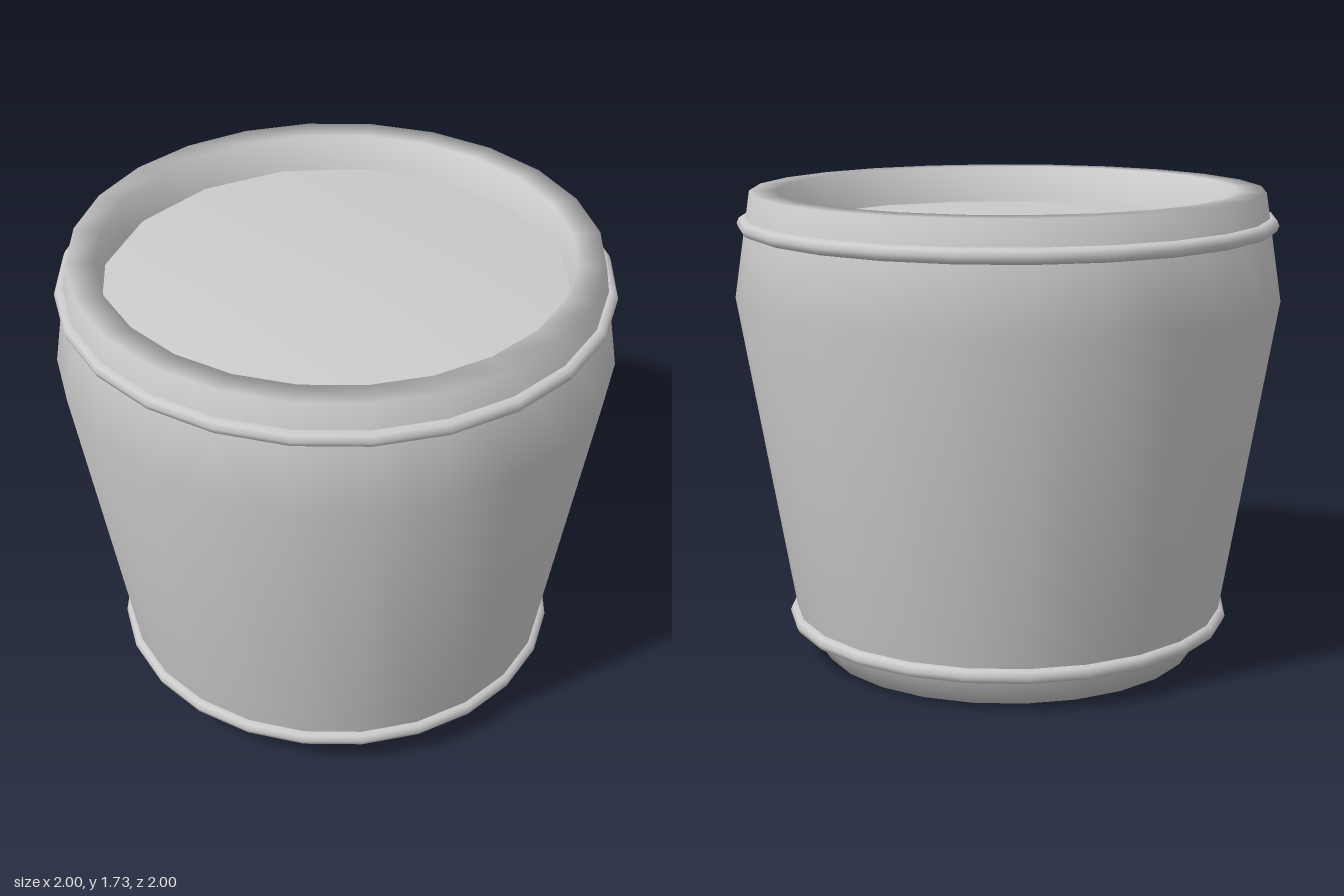
import * as THREE from 'three';

const SIDES = 24;

// Lathe from [radius, height] pairs, turned so a corner lies on +x
function turned(name, profile, sides, material) {
  const points = profile.map(([r, y]) => new THREE.Vector2(r, y));
  const mesh = new THREE.Mesh(new THREE.LatheGeometry(points, sides), material);
  mesh.name = name;
  return mesh;
}

// Horizontal band hugging the pot
function band(name, radius, y, material) {
  const geometry = new THREE.TorusGeometry(radius, 0.028, 8, SIDES);
  geometry.rotateX(-Math.PI / 2);
  const mesh = new THREE.Mesh(geometry, material);
  mesh.name = name;
  mesh.position.y = y;
  return mesh;
}

export function createModel() {
  const grey = new THREE.MeshStandardMaterial({ color: 0xcccccc });
  grey.name = 'plain grey';

  const group = new THREE.Group();
  group.name = 'plantPot';

  // Base, flared wall, neck, flat lip, inner wall and the ledge under the fill
  group.add(turned('potBody', [
    [0, 0], [0.7, 0], [0.8, 0.15], [1, 1.34], [0.94, 1.73],
    [0.84, 1.73], [0.84, 1.58], [0.78, 1.54],
  ], SIDES, grey));

  // Fill surface just below the lip
  group.add(turned('soil', [[0.835, 1.5], [0.835, 1.59], [0, 1.59]], 16, grey));

  // Bands round the neck and the foot
  group.add(band('upperBand', 0.96, 1.612, grey));
  group.add(band('lowerBand', 0.8, 0.138, grey));

  return group;
}
